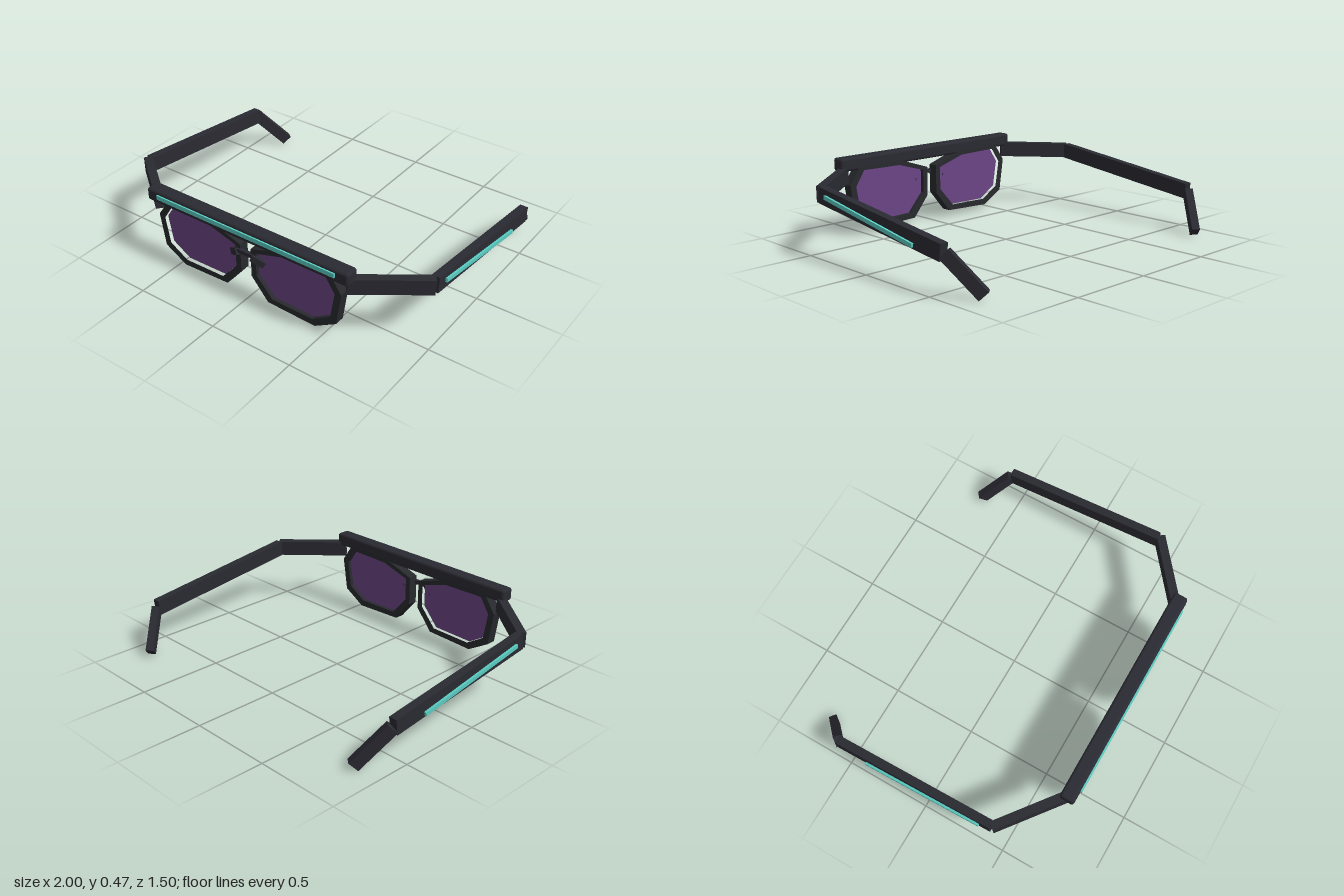
import * as THREE from 'three';
import { RoundedBoxGeometry } from 'three/addons/geometries/RoundedBoxGeometry.js';

const mat = (name, color) => {
  const m = new THREE.MeshStandardMaterial({ color });
  m.name = name;
  return m;
};

// Half outlines of the rim (model's left side)
const OUTER = [[0.61, 0.31], [0.54, 0.413], [0.24, 0.413], [0.035, 0.345], [0.035, 0.17], [0.14, 0.043], [0.445, 0.032], [0.58, 0.112]];
const INNER = [[0.57, 0.3], [0.51, 0.39], [0.25, 0.385], [0.068, 0.33], [0.068, 0.19], [0.17, 0.075], [0.43, 0.07], [0.543, 0.14]];

export function createModel() {
  const frame = mat('frame black', 0x2a2a32);
  const rimMat = mat('rim charcoal', 0x28292d);
  const lensMat = mat('lens purple', 0x6a4585);
  const glow = mat('strip teal', 0x5accc2);
  const root = new THREE.Group();
  root.name = 'glasses';

  const add = (name, geo, material, x = 0, y = 0, z = 0) => {
    const m = new THREE.Mesh(geo, material);
    m.name = name;
    m.position.set(x, y, z);
    root.add(m);
    return m;
  };

  // Box of section w x h running from point a to point b
  const beam = (name, a, b, w, h, material) => {
    const p = new THREE.Vector3(...a), q = new THREE.Vector3(...b);
    const mid = p.clone().add(q).multiplyScalar(0.5);
    const m = add(name, new THREE.BoxGeometry(w, h, p.distanceTo(q)), material, mid.x, mid.y, mid.z);
    m.lookAt(q);
    return m;
  };

  // Brow bar with its front light strip, and nose bridge
  add('browBar', new RoundedBoxGeometry(1.33, 0.078, 0.084, 3, 0.016), frame, 0, 0.434, 0.696);
  add('browStrip', new THREE.BoxGeometry(1.175, 0.026, 0.02), glow, 0, 0.441, 0.737);
  add('bridge', new THREE.BoxGeometry(0.1, 0.022, 0.022), frame, 0, 0.306, 0.713);

  for (const s of [1, -1]) {
    const side = s > 0 ? 'left' : 'right';
    const pts = (list) => list.map(([x, y]) => new THREE.Vector2(s * x, y));
    const at = (x, y, z) => [s * x, y, z];

    // Rim and lens
    const rim = new THREE.Shape(pts(OUTER));
    rim.holes.push(new THREE.Path(pts(INNER)));
    add(side + 'Rim', new THREE.ExtrudeGeometry(rim, { depth: 0.06, bevelEnabled: false }), rimMat, 0, 0, 0.654);
    add(side + 'Lens', new THREE.ExtrudeGeometry(new THREE.Shape(pts(INNER)), { depth: 0.014, bevelEnabled: false }), lensMat, 0, 0, 0.677);

    // Nose pad
    beam(side + 'NosePad', at(0.045, 0.302, 0.72), at(0.108, 0.262, 0.69), 0.028, 0.038, frame);

    // Hinge arm, temple and ear tip
    beam(side + 'HingeArm', at(0.625, 0.372, 0.69), at(0.97, 0.355, 0.42), 0.05, 0.09, frame);
    beam(side + 'Temple', at(0.963, 0.355, 0.415), at(0.963, 0.234, -0.565), 0.048, 0.09, frame);
    beam(side + 'EarTip', at(0.962, 0.23, -0.57), at(0.843, 0.028, -0.716), 0.046, 0.066, frame);

    // Temple light strip
    beam(side + 'TempleStrip', at(0.988, 0.353, 0.353), at(0.988, 0.233, -0.37), 0.024, 0.022, glow);
  }
  return root;
}
